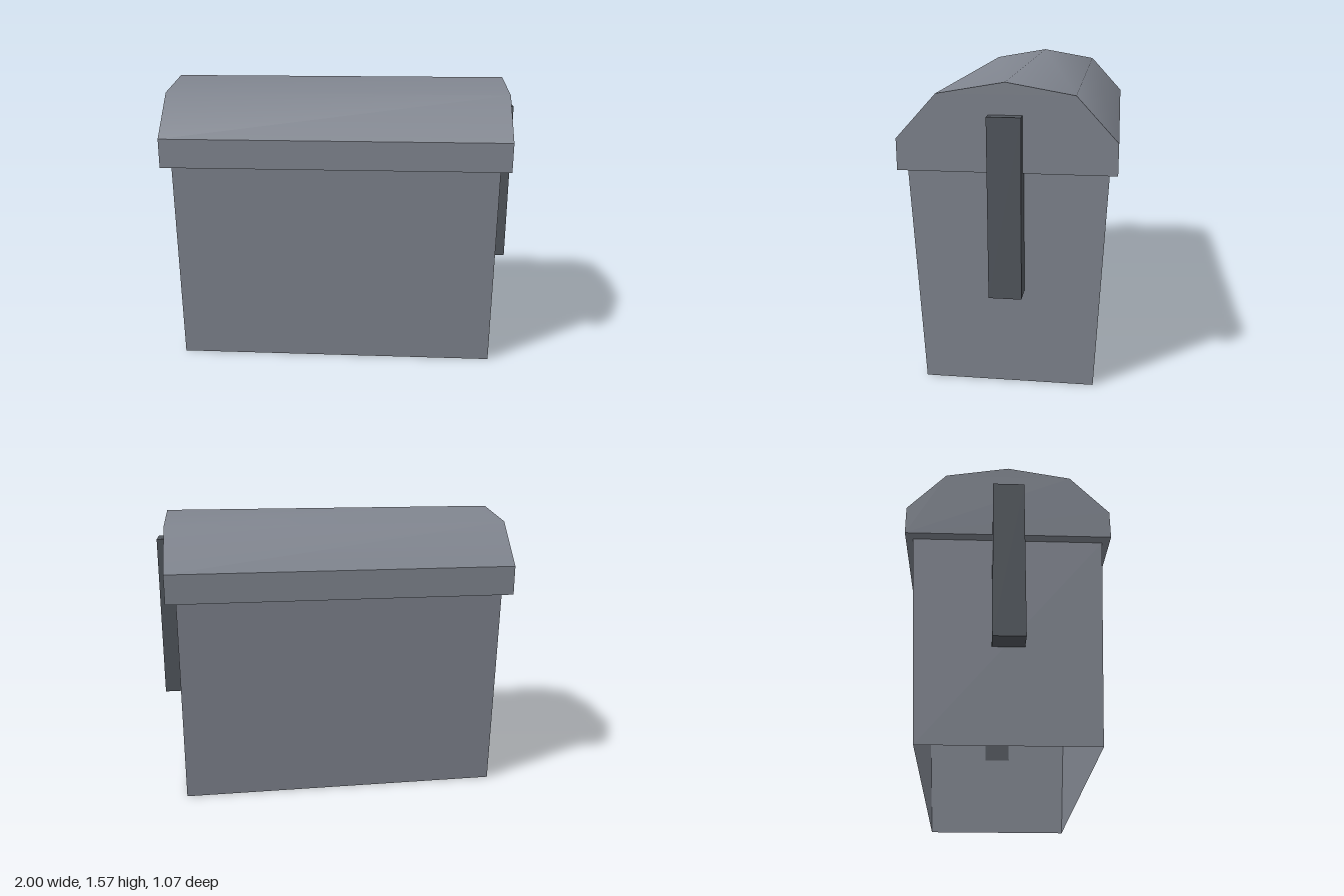
import * as THREE from 'three';
import { toCreasedNormals } from 'three/addons/utils/BufferGeometryUtils.js';

// Extrude a (z, y) outline along x, centred on x = 0
function extrudeAlongX(points, length) {
  const shape = new THREE.Shape(points.map(([z, y]) => new THREE.Vector2(-z, y)));
  const geometry = new THREE.ExtrudeGeometry(shape, { depth: length, bevelEnabled: false });
  return geometry.translate(0, 0, -length / 2).rotateY(Math.PI / 2);
}

export function createModel() {
  const group = new THREE.Group();
  const grey = new THREE.MeshStandardMaterial({ color: 0x80858f, side: THREE.DoubleSide });
  grey.name = 'steel grey';
  const dark = new THREE.MeshStandardMaterial({ color: 0x52575e });
  dark.name = 'dark grey';

  const add = (name, geometry, material) => {
    const mesh = new THREE.Mesh(geometry, material);
    mesh.name = name;
    group.add(mesh);
    return mesh;
  };

  // Bin body: four walls widening in z towards the top, open below
  const bodyHeight = 1.135;
  const body = new THREE.BoxGeometry(1.77, bodyHeight, 1).translate(0, bodyHeight / 2, 0);
  const pos = body.attributes.position;
  for (let i = 0; i < pos.count; i++) {
    pos.setZ(i, Math.sign(pos.getZ(i)) * (pos.getY(i) > 0.5 ? 0.496 : 0.439));
  }
  // Leave out the top and bottom faces (box indices 12 to 23)
  const index = Array.from(body.index.array);
  body.setIndex([...index.slice(0, 12), ...index.slice(24)]);
  body.clearGroups();
  add('body', toCreasedNormals(body, 0.3), grey);

  // Lid: upright rim with a smooth-shaded faceted roof
  const half = [[0.535, 1.135], [0.535, 1.292], [0.333, 1.512]];
  const outline = [...half, [0, 1.57], ...half.map(([z, y]) => [-z, y]).reverse()];
  add('lid', toCreasedNormals(extrudeAlongX(outline, 1.876), 0.7), grey);

  // Upright bar on each end
  for (const [side, name] of [[1, 'leftBar'], [-1, 'rightBar']]) {
    const bar = add(name, new THREE.BoxGeometry(0.116, 0.904, 0.164), dark);
    bar.position.set(side * 0.942, 0.963, 0);
  }

  return group;
}
